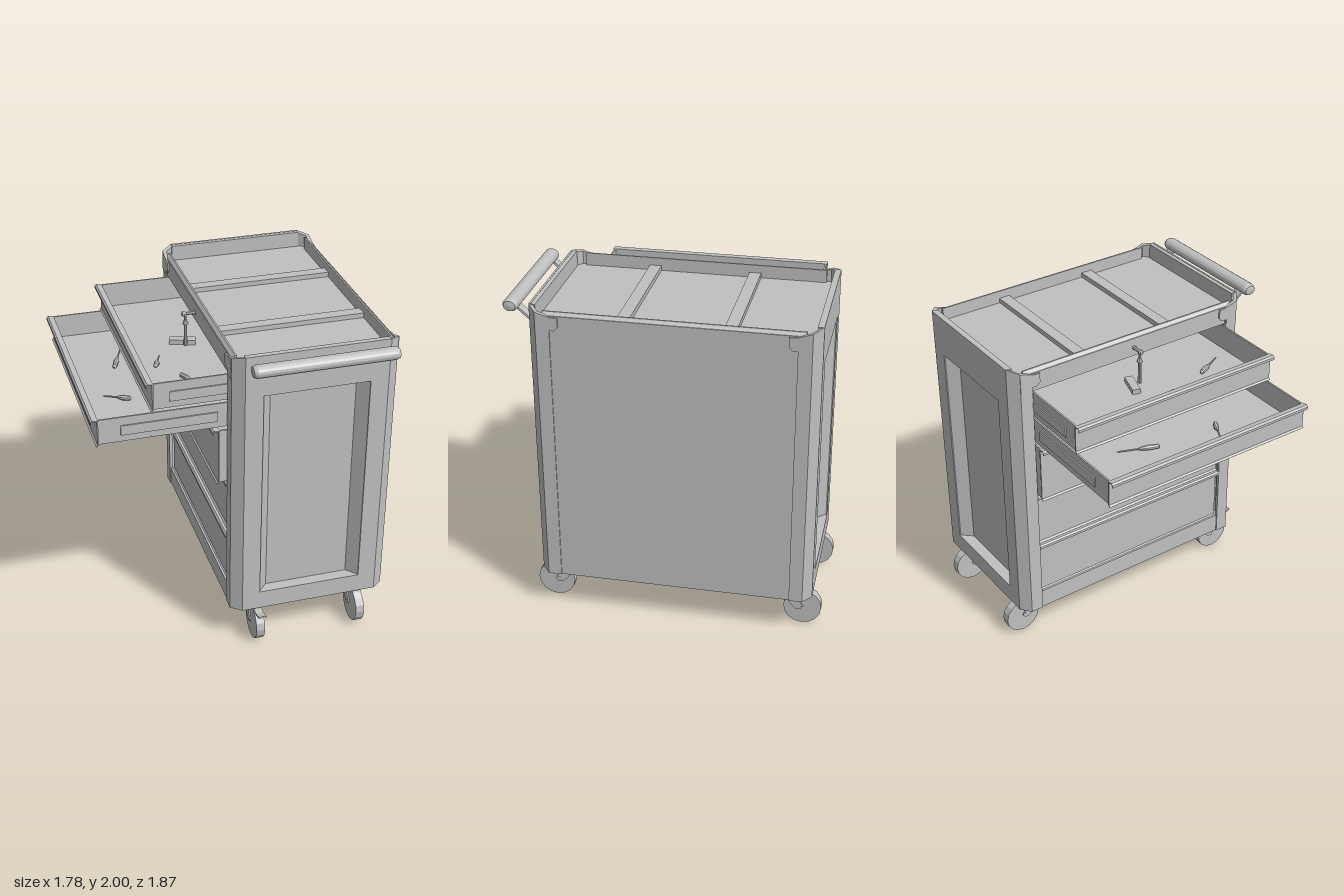
import * as THREE from 'three';

const grey = new THREE.MeshStandardMaterial({ color: 0xc0c0c0 });
grey.name = 'painted steel grey';
grey.flatShading = true;

const CX = 0.395, CZ = -0.055; // cabinet centre

function add(parent, name, geo, x = 0, y = 0, z = 0) {
  const m = new THREE.Mesh(geo, grey);
  m.name = name;
  m.position.set(x, y, z);
  parent.add(m);
  return m;
}

// box from its limits
function block(parent, name, x0, x1, y0, y1, z0, z1) {
  return add(parent, name, new THREE.BoxGeometry(x1 - x0, y1 - y0, z1 - z0),
    (x0 + x1) / 2, (y0 + y1) / 2, (z0 + z1) / 2);
}

const shapeOf = pts => new THREE.Shape(pts.map(p => new THREE.Vector2(p[0], p[1])));
const extrude = (shape, depth) => new THREE.ExtrudeGeometry(shape, { depth, bevelEnabled: false });

// plan outline [x, z] raised from y0 to y1
function raise(pts, y0, y1) {
  return extrude(shapeOf(pts.map(([x, z]) => [x, -z])), y1 - y0).rotateX(-Math.PI / 2).translate(0, y0, 0);
}
// profile [x, y] swept along z
const sweepZ = (pts, z0, z1) => extrude(shapeOf(pts), z1 - z0).translate(0, 0, z0);
// profile [z, y] swept along x
const sweepX = (pts, x0, x1) =>
  extrude(shapeOf(pts.map(([z, y]) => [-z, y])), x1 - x0).rotateY(Math.PI / 2).translate(x0, 0, 0);

// front or back end: framed panel with a sunken field
function endPanel() {
  const g = new THREE.Group();
  const frame = shapeOf([[-0.43, 0.245], [0.43, 0.245], [0.43, 1.99], [-0.43, 1.99]]);
  frame.holes.push(shapeOf([[-0.32, 0.365], [-0.32, 1.735], [0.32, 1.735], [0.32, 0.365]]));
  add(g, 'panelFrame', extrude(frame, 0.012), 0, 0, 0.815);
  const field = [[-0.32, 0.82], [-0.26, 0.755], [0.26, 0.755], [0.32, 0.82],
    [0.33, 0.82], [0.265, 0.745], [-0.265, 0.745], [-0.33, 0.82]];
  add(g, 'sunkenField', raise(field, 0.365, 1.735));
  block(g, 'fieldSill', -0.32, 0.32, 0.355, 0.365, 0.745, 0.82);
  block(g, 'fieldHead', -0.32, 0.32, 1.735, 1.745, 0.745, 0.82);
  block(g, 'endRim', -0.43, 0.43, 1.88, 1.988, 0.79, 0.818);
  return g;
}

function cabinet() {
  const g = new THREE.Group();
  g.name = 'cabinet';
  const octagon = [[-0.43, 0.815], [0.43, 0.815], [0.485, 0.77], [0.485, -0.77],
    [0.43, -0.815], [-0.43, -0.815], [-0.485, -0.77], [-0.485, 0.77]];
  add(g, 'bottom', raise(octagon, 0.246, 0.26));
  add(g, 'topTray', raise(octagon, 1.87, 1.89));
  for (const z of [-0.31, 0.303]) block(g, 'trayDivider', -0.455, 0.455, 1.885, 1.92, z - 0.036, z + 0.036);

  for (const s of [1, -1]) {
    const end = endPanel();
    end.name = s > 0 ? 'frontPanel' : 'backPanel';
    end.rotation.y = s > 0 ? 0 : Math.PI;
    g.add(end);
    // sloped side rim
    add(g, 'sideRim', sweepZ([[0.488, 1.945], [0.465, 1.968], [0.455, 1.968], [0.455, 1.87], [0.488, 1.87]]
      .map(([x, y]) => [s * x, y]), -0.74, 0.74));

    for (const t of [1, -1]) {
      // chamfered corner post, its top falling away towards the middle
      const post = raise([[0.43, 0.827], [0.495, 0.775], [0.495, 0.695], [0.475, 0.695], [0.475, 0.765], [0.43, 0.8]]
        .map(([x, z]) => [s * x, t * z]), 0.245, 1.99);
      const p = post.attributes.position;
      for (let i = 0; i < p.count; i++)
        if (p.getY(i) > 1) p.setY(i, 1.99 - 0.33 * (0.827 - Math.abs(p.getZ(i))));
      post.computeVertexNormals();
      add(g, 'cornerPost', post);
      const ear = [[0.775, 1.973], [0.69, 1.945], [0.645, 1.942], [0.645, 1.885], [0.665, 1.865], [0.7, 1.865], [0.7, 1.84], [0.775, 1.84]];
      add(g, 'cornerEar', sweepX(ear.map(([z, y]) => [t * z, y]), s > 0 ? 0.486 : -0.498, s > 0 ? 0.498 : -0.486));
    }
  }
  block(g, 'closedSide', 0.475, 0.488, 0.245, 1.95, -0.7, 0.7);
  block(g, 'plinth', -0.488, -0.475, 0.245, 0.37, -0.7, 0.7);
  block(g, 'header', -0.488, -0.475, 1.835, 1.95, -0.7, 0.7);
  g.position.set(CX, 0, CZ);
  return g;
}

// drawer whose front plate stands at x = xf
function drawer(y0, y1, xf, rail) {
  const g = new THREE.Group();
  g.name = 'drawer';
  const xb = xf + 0.85, zA = -0.745, zB = 0.63;
  block(g, 'drawerFloor', xf, xb, y0, y0 + 0.008, zA, zB);
  block(g, 'drawerBack', xb - 0.01, xb, y0, y1, zA, zB);
  block(g, 'drawerSide', xf, xb, y0, y1, zA, zA + 0.01);
  block(g, 'drawerSide', xf, xb, y0, y1, zB - 0.01, zB);
  // front plate with rolled pull at the top and small flare at the foot
  add(g, 'drawerFront', sweepZ([[xf + 0.008, y0], [xf + 0.008, y1], [xf - 0.026, y1 + 0.004], [xf - 0.036, y1 - 0.006],
    [xf - 0.036, y1 - 0.022], [xf - 0.031, y1 - 0.022], [xf - 0.031, y1 - 0.008], [xf - 0.024, y1 - 0.002],
    [xf, y1 - 0.006], [xf, y0], [xf - 0.01, y0 - 0.01], [xf - 0.006, y0 - 0.014]], -0.75, 0.637));
  // slide rails
  if (rail) for (const z of [zA, zB])
    block(g, 'slideRail', xf + rail[0], xf + rail[1], y0 + 0.042, y0 + 0.103, z - 0.008, z + 0.008);
  return g;
}

// hand tool lying from its butt a to its tip b, points given as [x, z]
function handTool(name, a, b, y, r) {
  const dx = b[0] - a[0], dz = b[1] - a[1], L = Math.hypot(dx, dz);
  const prof = [[0, 0], [r, 0.01], [r * 1.2, L * 0.3], [r * 0.7, L * 0.45], [r * 0.35, L * 0.5], [r * 0.3, L * 0.9], [0, L]];
  const geo = new THREE.LatheGeometry(prof.map(p => new THREE.Vector2(p[0], p[1])), 8);
  const m = new THREE.Mesh(geo, grey);
  m.name = name;
  m.position.set(a[0], y + r * 1.2, a[1]);
  m.quaternion.setFromUnitVectors(new THREE.Vector3(0, 1, 0), new THREE.Vector3(dx / L, 0, dz / L));
  return m;
}

// castor trailing towards +z, axle at z = 0
function castor(pedal) {
  const g = new THREE.Group();
  g.name = 'castor';
  add(g, 'wheel', new THREE.CylinderGeometry(0.115, 0.115, 0.054, 16).rotateZ(Math.PI / 2), 0, 0.115, 0);
  add(g, 'axle', new THREE.CylinderGeometry(0.014, 0.014, 0.075, 8).rotateZ(Math.PI / 2), 0, 0.118, -0.02);
  const fork = [[-0.165, 0.245], [-0.05, 0.245], [-0.04, 0.19], [-0.01, 0.145], [0.005, 0.12], [-0.01, 0.1], [-0.04, 0.1], [-0.065, 0.125]];
  for (const x of [-0.037, 0.029]) add(g, 'forkArm', sweepX(fork, x, x + 0.008));
  block(g, 'forkCrown', -0.037, 0.037, 0.233, 0.247, -0.165, -0.03);
  if (pedal) add(g, 'brakePedal', sweepX([[0.15, 0.248], [0.13, 0.238], [0.08, 0.226], [0, 0.24], [-0.04, 0.24],
    [-0.04, 0.232], [0, 0.231], [0.08, 0.217], [0.135, 0.23], [0.155, 0.242]], -0.025, 0.025));
  return g;
}

export function createModel() {
  const model = new THREE.Group();
  model.name = 'toolTrolley';
  model.add(cabinet());

  // three drawers pulled out, two shut
  model.add(drawer(1.665, 1.827, -0.535, [0.1, 0.65]), drawer(1.49, 1.645, -0.855, [0.135, 0.7]),
    drawer(1.115, 1.465, -0.15), drawer(0.745, 1.1, -0.07), drawer(0.375, 0.73, -0.07));

  // push handle on two sloping arms
  const grip = add(model, 'handleGrip', new THREE.LatheGeometry(
    [[0, -0.43], [0.03, -0.425], [0.038, -0.405], [0.038, 0.405], [0.03, 0.425], [0, 0.43]]
      .map(p => new THREE.Vector2(p[0], p[1])), 16).rotateZ(Math.PI / 2), CX, 1.962, 0.888);
  grip.scale.z = 1.18;
  for (const x of [0.01, 0.72]) add(model, 'handleArm',
    sweepX([[0.765, 1.853], [0.765, 1.87], [0.86, 1.955], [0.87, 1.945]], x, x + 0.06));

  for (const x of [0.068, 0.72]) {
    const front = castor(x < 0.5), back = castor(false);
    front.position.set(x, 0, 0.717);
    back.position.set(x, 0, -0.818);
    back.rotation.y = Math.PI;
    model.add(front, back);
  }

  // loose tools in the drawers
  model.add(handTool('screwdriver', [-0.405, 0.18], [-0.345, 0.04], 1.674, 0.014),
    handTool('screwdriver', [-0.29, 0.31], [-0.19, 0.51], 1.674, 0.014),
    handTool('screwdriver', [-0.56, 0.21], [-0.72, 0.13], 1.499, 0.014),
    handTool('screwdriver', [-0.575, -0.2], [-0.48, -0.45], 1.499, 0.014));
  const pack = add(model, 'toolFoot', new THREE.BoxGeometry(0.16, 0.03, 0.05), -0.165, 1.688, -0.105);
  pack.rotation.y = -0.3;
  add(model, 'toolStem', new THREE.CylinderGeometry(0.008, 0.012, 0.2, 8), -0.16, 1.785, -0.05);
  add(model, 'toolCollar', new THREE.CylinderGeometry(0.01, 0.02, 0.025, 8), -0.16, 1.84, -0.05);
  add(model, 'toolHead', new THREE.CylinderGeometry(0.009, 0.012, 0.08, 8).rotateZ(Math.PI / 2), -0.14, 1.895, -0.05);
  add(model, 'toolKnob', new THREE.SphereGeometry(0.017, 8, 6), -0.17, 1.895, -0.05);
  return model;
}
